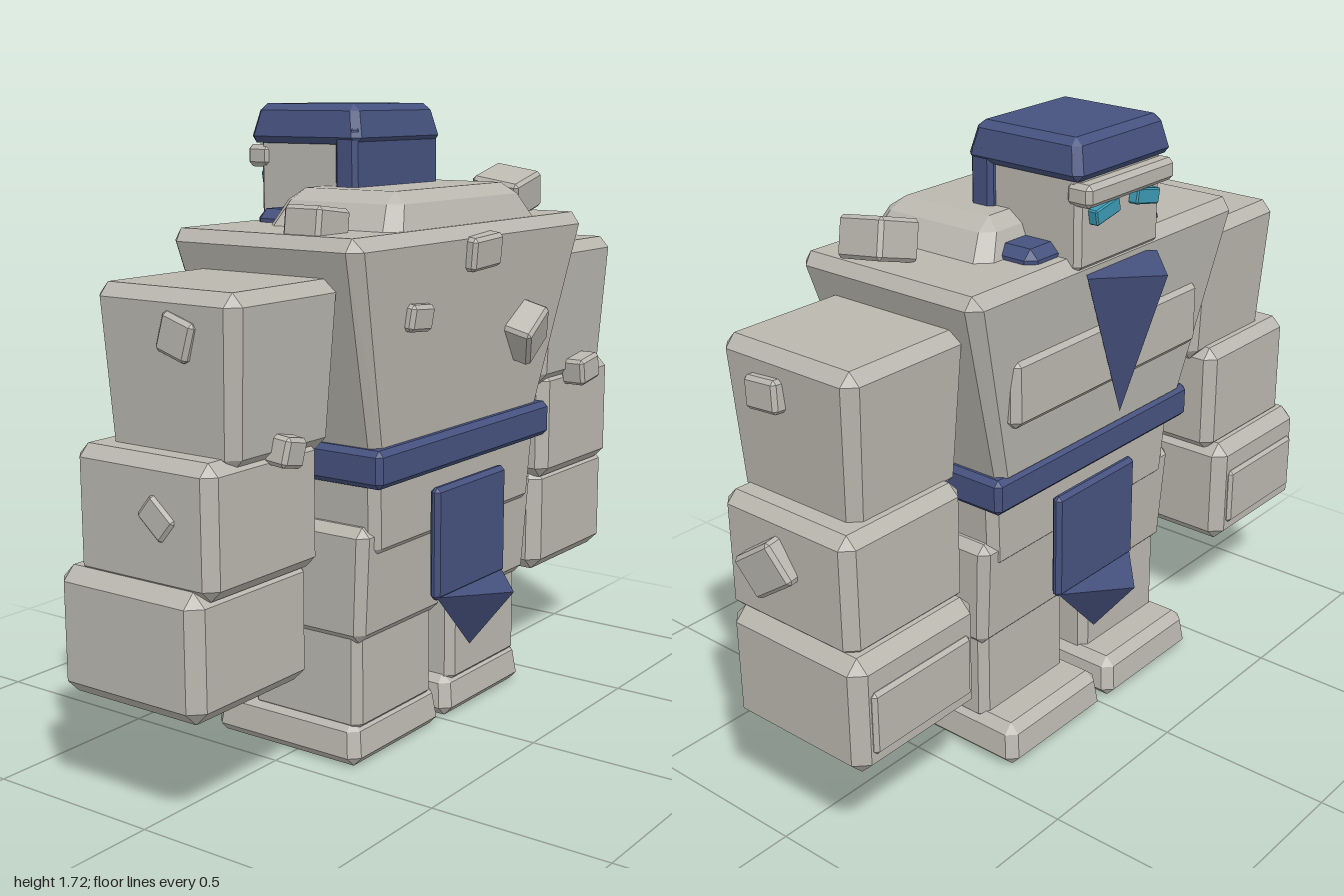
import * as THREE from 'three';
import { ConvexGeometry } from 'three/addons/geometries/ConvexGeometry.js';

const material = (name, color) => {
  const m = new THREE.MeshStandardMaterial({ color });
  m.name = name;
  return m;
};

// Box with chamfered edges; the footprint shrinks or grows towards the bottom by tx, tz.
function chamferBox(w, h, d, c, tx = 1, tz = 1) {
  const points = [];
  for (const sx of [-1, 1]) for (const sy of [-1, 1]) for (const sz of [-1, 1]) {
    for (const axis of [0, 1, 2]) {
      const x = sx * (w / 2 - (axis === 0 ? 0 : c));
      const y = sy * (h / 2 - (axis === 1 ? 0 : c));
      const z = sz * (d / 2 - (axis === 2 ? 0 : c));
      const t = 0.5 - y / h;
      points.push(new THREE.Vector3(
        x * THREE.MathUtils.lerp(1, tx, t), y, z * THREE.MathUtils.lerp(1, tz, t)));
    }
  }
  return new ConvexGeometry(points);
}

// Four-sided point hanging downwards, with a ridge at the front.
function hangingPoint(rx, rz, h) {
  const g = new THREE.ConeGeometry(1, h, 4).rotateX(Math.PI).scale(rx, 1, rz).toNonIndexed();
  g.computeVertexNormals();
  return g;
}

export function createModel() {
  const stone = material('stone', 0xbab7af);
  const blue = material('blueCloth', 0x46527f);
  const glow = material('eyeTeal', 0x3a9ab4);

  const model = new THREE.Group();
  model.name = 'stoneGolem';
  const body = new THREE.Group();
  body.name = 'body';
  body.position.x = -0.008;
  model.add(body);

  const add = (name, geometry, mat, pos, rot = [0, 0, 0]) => {
    const mesh = new THREE.Mesh(geometry, mat);
    mesh.name = name;
    mesh.position.set(...pos);
    mesh.rotation.set(...rot);
    body.add(mesh);
    return mesh;
  };
  // Block given by its limits at the top
  const block = (name, mat, [x0, x1], [y0, y1], [z0, z1], c, tx = 1, tz = 1) =>
    add(name, chamferBox(x1 - x0, y1 - y0, z1 - z0, c, tx, tz), mat,
      [(x0 + x1) / 2, (y0 + y1) / 2, (z0 + z1) / 2]);

  // Torso
  block('chest', stone, [-0.568, 0.568], [0.83, 1.405], [-0.285, 0.325], 0.033, 0.69, 0.8);
  block('chestPlate', stone, [-0.4, 0.4], [1.01, 1.2], [-0.275, -0.1], 0.02);
  block('shoulderHump', stone, [-0.285, 0.285], [1.36, 1.5], [-0.095, 0.25], 0.03, 1.35, 1.32);
  block('waist', stone, [-0.405, 0.405], [0.57, 0.82], [-0.195, 0.265], 0.025, 0.95, 0.95);
  block('belt', blue, [-0.425, 0.425], [0.765, 0.865], [-0.235, 0.295], 0.015);
  block('collar', blue, [-0.28, 0.28], [1.34, 1.44], [-0.225, -0.08], 0.025);

  // Head
  block('head', stone, [-0.175, 0.175], [1.37, 1.65], [-0.288, 0], 0.015);
  block('brow', stone, [-0.183, 0.183], [1.545, 1.605], [-0.328, -0.25], 0.013);
  block('capTop', blue, [-0.18, 0.18], [1.61, 1.715], [-0.285, 0.04], 0.018, 1.13, 1.16);
  block('capBackFlap', blue, [-0.195, 0.195], [1.48, 1.66], [-0.02, 0.052], 0.012);
  add('beard', hangingPoint(0.15, 0.14, 0.415), blue, [0, 1.148, -0.3]);
  for (const s of [-1, 1]) {
    add('eye', chamferBox(0.1, 0.042, 0.03, 0.004), glow, [s * 0.085, 1.52, -0.3], [0, 0, -s * 0.2]);
  }

  // Hanging cloth on both sides of the belt
  for (const z of [0.287, -0.218]) {
    block('loinCloth', blue, [-0.173, 0.173], [0.412, 0.722], [z - 0.016, z + 0.016], 0.012);
    add('loinClothPoint', hangingPoint(0.165, 0.14, 0.175), blue, [0, 0.333, z + Math.sign(z) * 0.008]);
  }

  // Limbs: each entry runs outwards from the centre line
  const limbs = [
    ['upperArm', [0.495, 0.905], [0.885, 1.305], [-0.212, 0.24], 0.032, 0.9, 0.88],
    ['forearm', [0.548, 0.962], [0.59, 0.92], [-0.235, 0.207], 0.03],
    ['fist', [0.556, 0.992], [0.29, 0.615], [-0.28, 0.18], 0.035],
    ['knucklePlate', [0.6, 0.95], [0.35, 0.525], [-0.292, -0.22], 0.01],
    ['thigh', [0.02, 0.425], [0.34, 0.655], [-0.185, 0.245], 0.025, 0.95, 0.9],
    ['shin', [0.045, 0.4], [0.09, 0.39], [-0.155, 0.205], 0.022],
    ['foot', [0.025, 0.41], [0, 0.12], [-0.262, 0.2], 0.025, 1.08, 1.07],
  ];
  for (const s of [-1, 1]) {
    const side = s > 0 ? 'left' : 'right';
    for (const [name, [a, b], ...rest] of limbs) {
      const xs = s > 0 ? [a, b] : [-b, -a];
      block(side + name[0].toUpperCase() + name.slice(1), stone, xs, ...rest);
    }
  }

  // Loose rocks embedded in the surface: position, size, rotation
  const rocks = [
    [[-0.457, 1.42, 0.125], [0.13, 0.1, 0.115], [0, 0, -0.13]],
    [[0.475, 1.46, 0.108], [0.14, 0.11, 0.155], [0.15, 0, 0.28]],
    [[0, 1.335, 0.315], [0.14, 0.09, 0.06], [0.12, 0, 0.06]],
    [[-0.275, 1.19, 0.295], [0.1, 0.07, 0.06], [0.12, 0, -0.08]],
    [[0.255, 1.09, 0.3], [0.13, 0.13, 0.1], [0.3, 0.2, 0.6]],
    [[-0.712, 0.915, 0.225], [0.08, 0.075, 0.07], [0.1, 0, -0.2]],
    [[0.713, 0.915, 0.235], [0.11, 0.08, 0.08], [0, 0, 0.15]],
    [[0.905, 1.195, 0.07], [0.05, 0.085, 0.11], [0.08, 0, 0.05]],
    [[0.965, 0.77, 0.03], [0.07, 0.12, 0.155], [0.6, 0, -0.12]],
    [[-0.885, 1.195, 0.06], [0.06, 0.1, 0.1], [0.3, 0, 0]],
    [[-0.95, 0.775, 0.04], [0.04, 0.08, 0.1], [0.7, 0, 0]],
  ];
  rocks.forEach(([pos, size, rot]) => add('rock', chamferBox(...size, 0.01), stone, pos, rot));

  return model;
}
